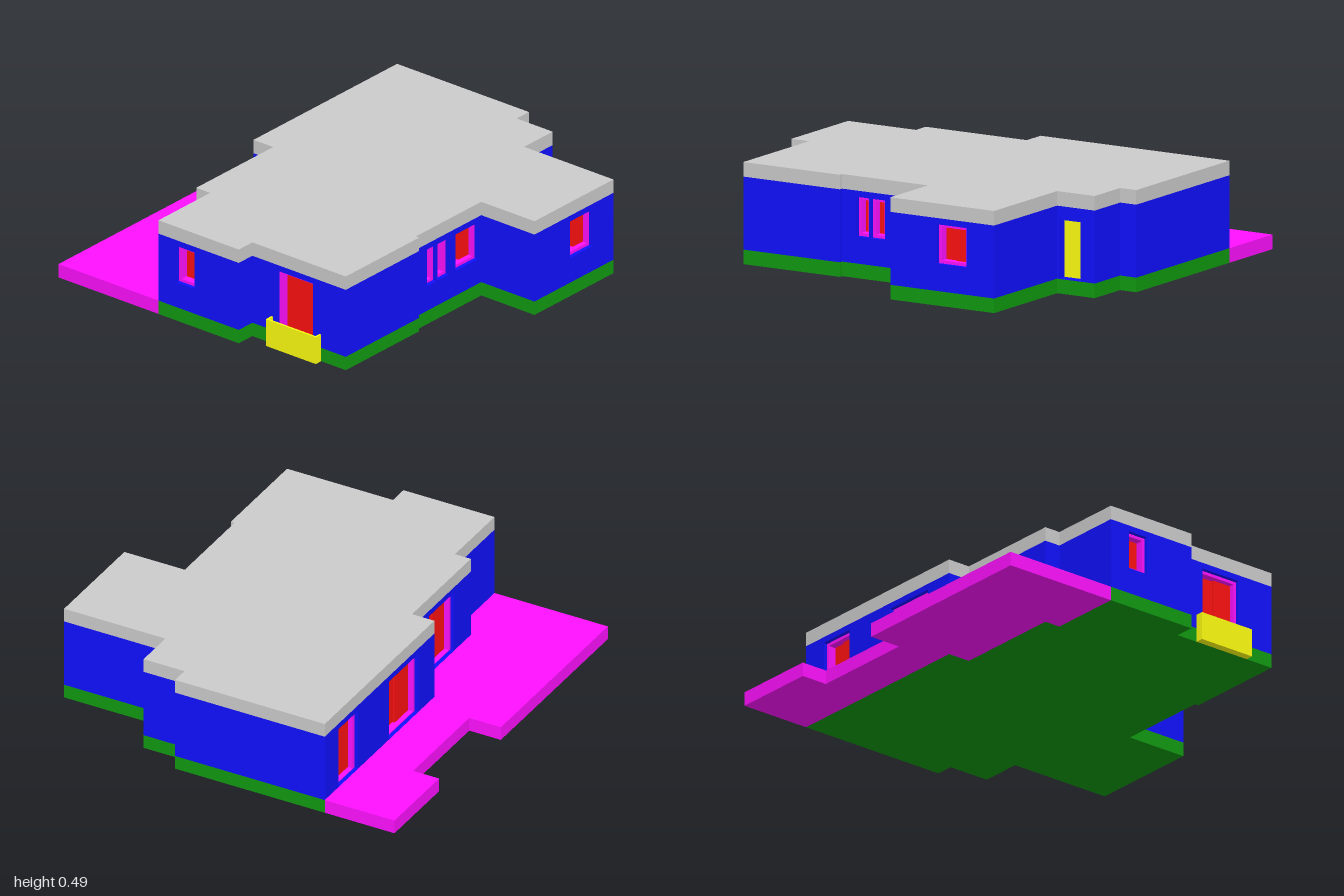
import * as THREE from 'three';

const mat = (color) => new THREE.MeshStandardMaterial({ color });
const MAT = {
  roof: mat(0xcccccc), wall: mat(0x1010ff), base: mat(0x109a10),
  trim: mat(0xff10ff), pane: mat(0xff1010), yellow: mat(0xffff10),
};
const FLOOR = 0.07, CEILING = 0.42, TOP = 0.49, THICK = 0.08;

// House footprint as [x, z], counter-clockwise seen from above, starting at the west side
const FOOTPRINT = [
  [-1, 0.11], [-0.9, 0.11], [-0.9, 0.68], [-0.36, 0.68], [-0.36, 0.66], [0.12, 0.66],
  [0.12, 0.985], [0.7, 0.985], [0.7, 0.44], [0.91, 0.44], [0.91, 0.22], [1, 0.22],
  [1, -0.585], [-0.055, -0.585], [-0.055, -0.465], [-0.62, -0.465], [-0.62, -0.38], [-1, -0.38],
];
// Terrace: its inner edge follows the back of the house
const TERRACE = [
  ...FOOTPRINT.slice(12).reverse(),
  [1, -0.585], [1, -0.96], [0.57, -0.96], [0.57, -0.82], [0.03, -0.82], [0.03, -0.99], [-1, -0.99],
];

// Openings per footprint edge; from/to are world x or z along that edge
const OPENINGS = [
  { edge: 1, from: 0.26, to: 0.48, y0: FLOOR, y1: 0.39, sashes: 2 },
  { edge: 4, from: -0.28, to: -0.21, y0: 0.2, y1: 0.39, sashes: 1 },
  { edge: 4, from: -0.2, to: -0.12, y0: 0.2, y1: 0.39, sashes: 1 },
  { edge: 4, from: -0.07, to: 0.095, y0: 0.2, y1: 0.39, sashes: 2 },
  { edge: 6, from: 0.38, to: 0.545, y0: 0.2, y1: 0.39, sashes: 2 },
  { edge: 8, from: 0.71, to: 0.84, y0: FLOOR, y1: 0.355, door: true },
  { edge: 12, from: 0.68, to: 0.87, y0: FLOOR, y1: 0.39, sashes: 2 },
  { edge: 12, from: 0.1, to: 0.38, y0: FLOOR, y1: 0.39, sashes: 2 },
  { edge: 14, from: -0.46, to: -0.22, y0: FLOOR, y1: 0.39, sashes: 2 },
  { edge: 17, from: -0.27, to: -0.16, y0: 0.2, y1: 0.39, sashes: 1 },
];

function mesh(name, geometry, material) {
  const m = new THREE.Mesh(geometry, material);
  m.name = name;
  return m;
}

function box(name, material, x0, x1, y0, y1, z0, z1) {
  const g = new THREE.BoxGeometry(x1 - x0, y1 - y0, z1 - z0);
  g.translate((x0 + x1) / 2, (y0 + y1) / 2, (z0 + z1) / 2);
  return mesh(name, g, material);
}

// Horizontal slab from an [x, z] outline
function slab(name, outline, y0, y1, material) {
  const shape = new THREE.Shape(outline.map(([x, z]) => new THREE.Vector2(x, -z)));
  const g = new THREE.ExtrudeGeometry(shape, { depth: y1 - y0, bevelEnabled: false });
  g.rotateX(-Math.PI / 2).translate(0, y0, 0);
  return mesh(name, g, material);
}

const rect = (Type, x0, x1, y0, y1) => new Type([
  new THREE.Vector2(x0, y0), new THREE.Vector2(x1, y0),
  new THREE.Vector2(x1, y1), new THREE.Vector2(x0, y1),
]);

// Recessed frame with one or two overlapping sliding sashes
function windowUnit({ a, b, y0, y1, sashes }) {
  const group = new THREE.Group();
  group.name = y0 > FLOOR ? 'window' : 'terraceDoor';
  const w = 0.015;
  const sill = y0 > FLOOR ? y0 + w : y0 + 0.005;
  const frame = rect(THREE.Shape, a, b, y0, y1);
  frame.holes.push(rect(THREE.Path, a + w, b - w, sill, y1 - w));
  const g = new THREE.ExtrudeGeometry(frame, { depth: 0.05, bevelEnabled: false });
  group.add(mesh('frame', g.translate(0, 0, -0.07), MAT.trim));
  const mid = (a + b) / 2 - 0.005;
  group.add(box('backSash', MAT.pane, a + w, sashes > 1 ? mid + 0.01 : b - w, sill, y1 - w, -0.068, -0.058));
  if (sashes > 1) group.add(box('frontSash', MAT.pane, mid, b - w, sill, y1 - w, -0.056, -0.046));
  return group;
}

// Wall panel along one footprint edge; local x runs along it, local z points outdoors
function wallPanel(index) {
  const [x0, z0] = FOOTPRINT[index];
  const [x1, z1] = FOOTPRINT[(index + 1) % FOOTPRINT.length];
  const alongX = z0 === z1;
  const length = Math.hypot(x1 - x0, z1 - z0);
  const group = new THREE.Group();
  group.name = 'wallSide';
  group.position.set(x0, 0, z0);
  group.rotation.y = Math.atan2(z0 - z1, x1 - x0);

  const openings = OPENINGS.filter((o) => o.edge === index).map((o) => {
    const d = [o.from, o.to].map((v) => Math.abs(v - (alongX ? x0 : z0)));
    return { ...o, a: Math.min(...d), b: Math.max(...d) };
  });
  const shape = rect(THREE.Shape, 0, length, FLOOR, CEILING);
  for (const o of openings) {
    // Keep a hair of wall under doors so the hole stays inside the panel
    shape.holes.push(rect(THREE.Path, o.a, o.b, Math.max(o.y0, FLOOR + 0.001), o.y1));
    group.add(o.door
      ? box('entranceDoor', MAT.yellow, o.a, o.b, o.y0, o.y1, -0.065, -0.05)
      : windowUnit(o));
  }
  const g = new THREE.ExtrudeGeometry(shape, { depth: THICK, bevelEnabled: false });
  group.add(mesh('wall', g.translate(0, 0, -THICK), MAT.wall));
  return group;
}

export function createModel() {
  const model = new THREE.Group();
  model.name = 'house';
  model.add(
    slab('foundation', FOOTPRINT, 0, FLOOR, MAT.base),
    slab('terrace', TERRACE, 0, FLOOR, MAT.trim),
    slab('roof', FOOTPRINT, CEILING, TOP, MAT.roof),
  );
  FOOTPRINT.forEach((_, i) => model.add(wallPanel(i)));

  // Shallow side balcony with a thin parapet
  const balcony = new THREE.Group();
  balcony.name = 'balcony';
  balcony.add(
    box('balconyFloor', MAT.yellow, -0.94, -0.9, 0, FLOOR, 0.225, 0.53),
    box('frontParapet', MAT.yellow, -0.94, -0.93, FLOOR, 0.14, 0.225, 0.53),
    box('sideParapet', MAT.yellow, -0.93, -0.9, FLOOR, 0.14, 0.225, 0.235),
    box('sideParapet', MAT.yellow, -0.93, -0.9, FLOOR, 0.14, 0.52, 0.53),
  );
  model.add(balcony);
  return model;
}
